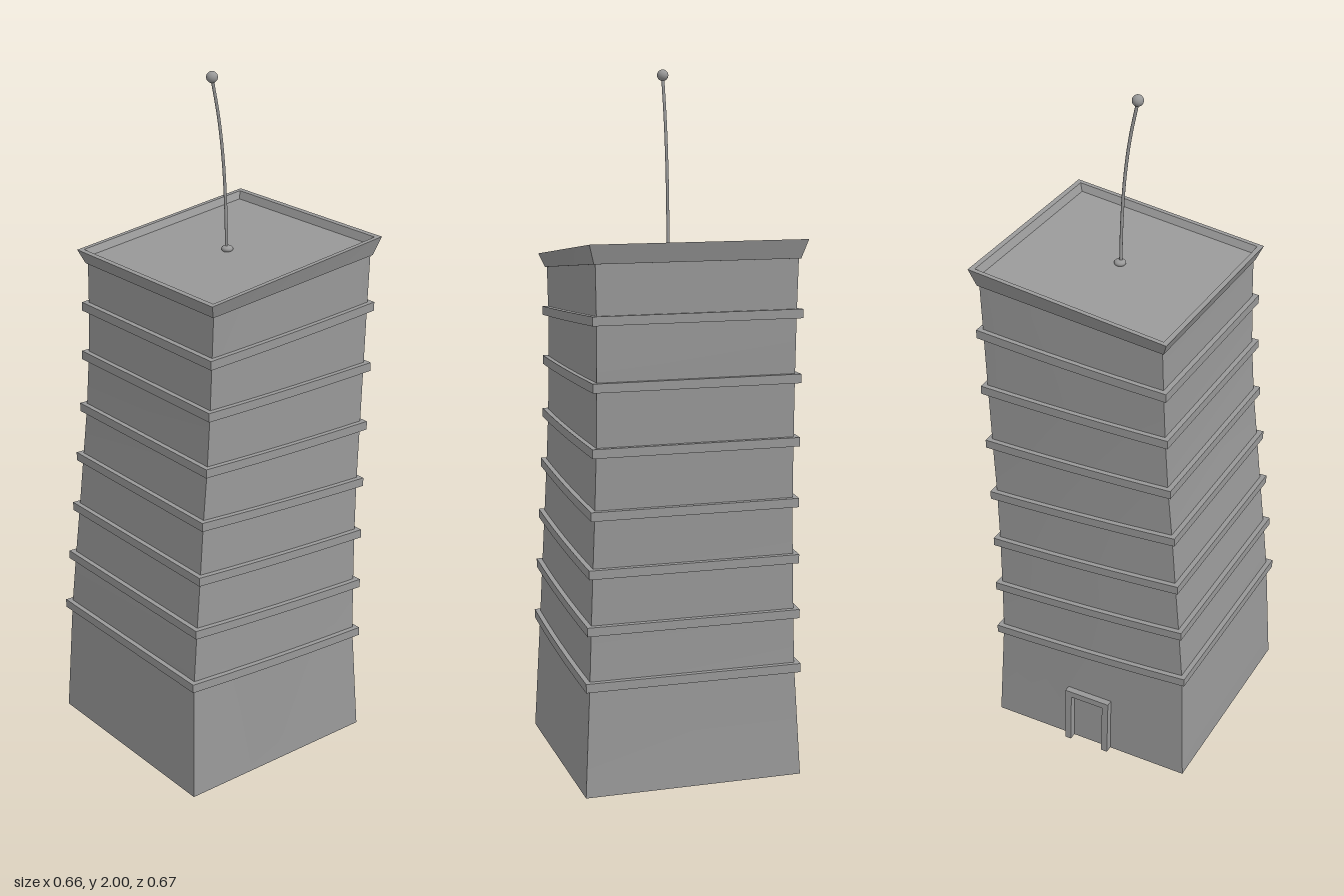
import * as THREE from 'three';
import { toCreasedNormals } from 'three/addons/utils/BufferGeometryUtils.js';

const CX = 0.008; // the door frame sticks out on -x, so the tower sits slightly off centre
const material = new THREE.MeshStandardMaterial({ color: 0x989898, side: THREE.DoubleSide });

// Tilted storey sections: front height, back height, front z, back z, half width, side bulge
const base = [0, 0, 0.335, -0.297, 0.319, 0];
const storeys = [
  [0.357, 0.32, 0.319, -0.283, 0.302, 0.005],
  [0.521, 0.481, 0.304, -0.284, 0.297, 0.005],
  [0.68, 0.643, 0.288, -0.287, 0.292, 0.005],
  [0.841, 0.807, 0.273, -0.293, 0.287, 0.005],
  [0.996, 0.982, 0.257, -0.302, 0.284, 0.005],
  [1.157, 1.161, 0.246, -0.309, 0.283, 0.005],
  [1.305, 1.341, 0.24, -0.314, 0.284, 0.005],
];
const eaves = [1.434, 1.492, 0.237, -0.317, 0.287, 0];
const rim = [1.472, 1.546, 0.258, -0.338, 0.308, 0];

// Outline of a section, pushed outwards by `out` and up by `lift`; the x sides are slightly convex
function section([yF, yB, zF, zB, w, bulge], out = 0, lift = 0) {
  const slope = (yF - yB) / (zF - zB), n = 6, points = [];
  const f = zF + out, b = zB - out;
  for (const side of [1, -1]) {
    for (let i = 0; i <= n; i++) {
      const t = i / n, z = side > 0 ? f + (b - f) * t : b + (f - b) * t;
      const x = w + out + bulge * 4 * t * (1 - t);
      points.push([CX + side * x, yF + slope * (z - zF) + lift, z]);
    }
  }
  return points;
}

// Skin over a stack of sections, optionally closed on top
function loft(name, rings, cap = false) {
  const p = [], n = rings[0].length;
  for (let i = 0; i < rings.length - 1; i++) {
    for (let j = 0; j < n; j++) {
      const k = (j + 1) % n, lo = rings[i], hi = rings[i + 1];
      p.push(...lo[j], ...lo[k], ...hi[k], ...lo[j], ...hi[k], ...hi[j]);
    }
  }
  if (cap) {
    // fan from the front corner; the first side is straight, so it starts at the back corner
    const last = rings[rings.length - 1];
    for (let j = n / 2 - 1; j < n - 1; j++) p.push(...last[0], ...last[j], ...last[j + 1]);
  }
  const g = new THREE.BufferGeometry();
  g.setAttribute('position', new THREE.Float32BufferAttribute(p, 3));
  return mesh(name, toCreasedNormals(g, 0.5));
}

function mesh(name, geometry) {
  const m = new THREE.Mesh(geometry, material);
  m.name = name;
  return m;
}

export function createModel() {
  const tower = new THREE.Group();
  tower.name = 'leaningTower';

  // Walls, open at the bottom
  tower.add(loft('walls', [base, ...storeys, eaves].map((l) => section(l))));

  // Ledge ring around each storey
  storeys.forEach((l, i) => {
    const o = 0.014, n = -0.014, h = 0.0127;
    tower.add(loft('ledge' + (i + 1), [
      section(l, o, -h), section(l, o, h), section(l, n, h), section(l, n, -h), section(l, o, -h),
    ]));
  });

  // Flared parapet with the sunken roof
  tower.add(loft('parapetAndRoof', [
    section(eaves, -0.005), section(eaves, 0.005), section(rim),
    section(rim, -0.014), section(rim, -0.024, -0.02),
  ], true));

  // Door frame, leaning with the wall
  const s = new THREE.Shape();
  [[0.09, 0], [0.09, 0.182], [-0.055, 0.182], [-0.055, 0], [-0.035, 0], [-0.035, 0.163],
    [0.07, 0.163], [0.07, 0]].forEach(([z, y], i) => (i ? s.lineTo(z, y) : s.moveTo(z, y)));
  const frame = new THREE.ExtrudeGeometry(s, { depth: 0.034, bevelEnabled: false });
  frame.rotateY(-Math.PI / 2);
  const pos = frame.attributes.position;
  for (let i = 0; i < pos.count; i++) pos.setX(i, pos.getX(i) - 0.299 + 0.05 * pos.getY(i));
  frame.computeVertexNormals();
  tower.add(mesh('doorFrame', frame));

  // Bent antenna with a foot and a ball tip
  const curve = new THREE.CatmullRomCurve3([
    [1.49, -0.037], [1.62, -0.033], [1.75, -0.024], [1.87, -0.008], [1.985, 0.016],
  ].map(([y, z]) => new THREE.Vector3(CX, y, z)));
  tower.add(mesh('antennaRod', new THREE.TubeGeometry(curve, 24, 0.0045, 10)));

  const foot = mesh('antennaFoot', new THREE.SphereGeometry(0.017, 20, 12));
  foot.scale.y = 0.6;
  foot.position.set(CX, 1.494, -0.039);
  const tip = mesh('antennaTip', new THREE.SphereGeometry(0.016, 20, 14));
  tip.position.set(CX, 1.984, 0.015);
  tower.add(foot, tip);

  return tower;
}
